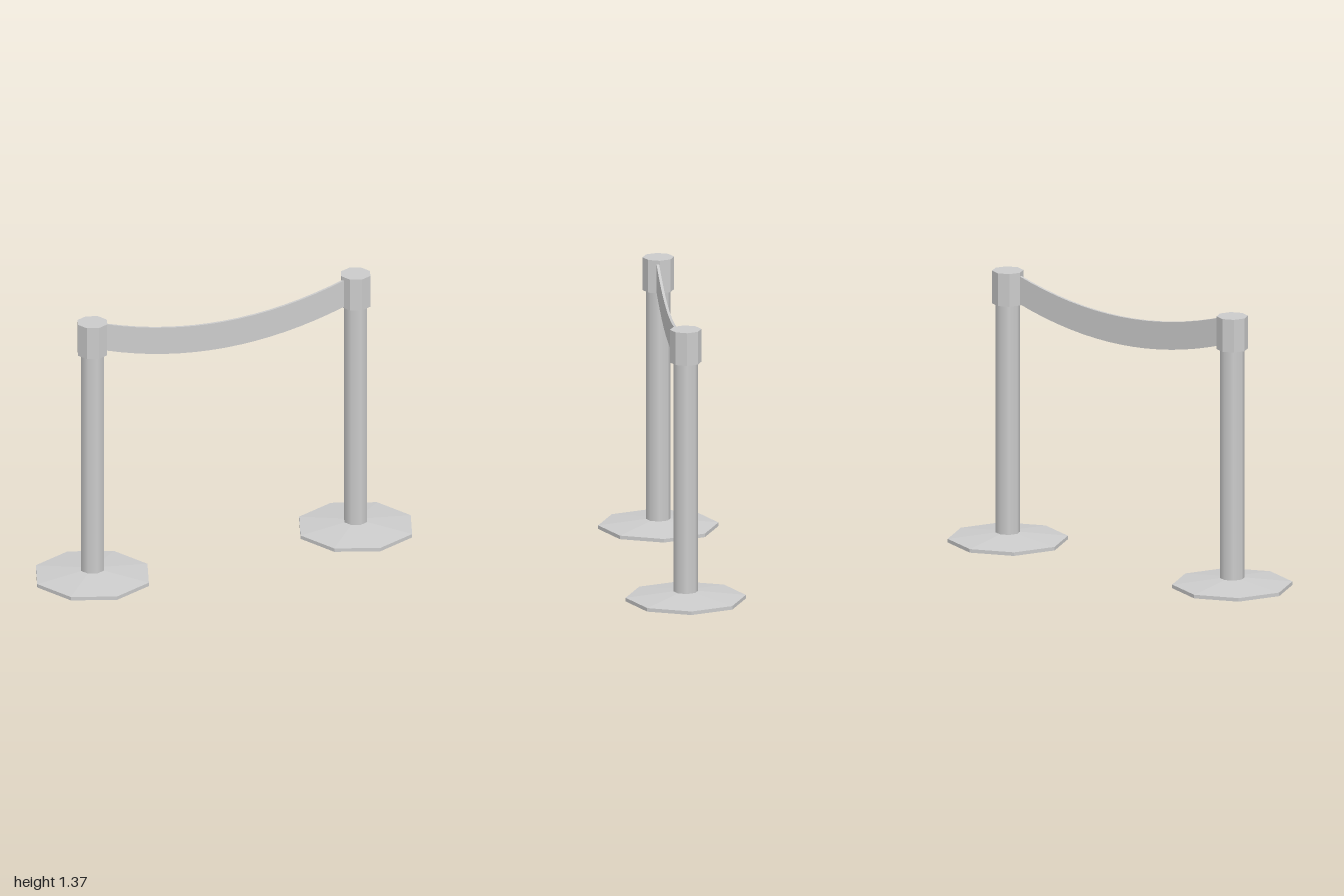
import * as THREE from 'three';

const SIDES = 8;
const POST_X = 0.705;
const flat = new THREE.MeshStandardMaterial({ color: 0xcccccc, flatShading: true });
const smooth = new THREE.MeshStandardMaterial({ color: 0xcccccc });

function addPart(group, name, geometry, material, y = 0) {
  const mesh = new THREE.Mesh(geometry, material);
  mesh.name = name;
  mesh.position.y = y;
  group.add(mesh);
}

// Eight-sided stanchion: weighted foot, tube and belt housing
function createStanchion(name) {
  const group = new THREE.Group();
  group.name = name;
  const profile = [[0, 0], [0.295, 0], [0.295, 0.018], [0.06, 0.045], [0, 0.045]]
    .map(([r, y]) => new THREE.Vector2(r, y));
  addPart(group, 'base', new THREE.LatheGeometry(profile, SIDES), flat);
  addPart(group, 'post', new THREE.CylinderGeometry(0.06, 0.06, 1.17, SIDES), smooth, 0.625);
  addPart(group, 'cap', new THREE.CylinderGeometry(0.077, 0.077, 0.165, SIDES), flat, 1.2825);
  return group;
}

// Sagging belt: a thin strip bent along a parabola
function createBelt() {
  const halfSpan = 0.64, sag = 0.103, height = 0.14, thickness = 0.013;
  const belt = new THREE.BoxGeometry(halfSpan * 2, height, thickness, 16, 1, 1);
  const p = belt.attributes.position;
  for (let i = 0; i < p.count; i++) {
    const t = p.getX(i) / halfSpan;
    p.setY(i, p.getY(i) + 1.175 + sag * t * t);
  }
  belt.translate(0, 0, 0.009);
  belt.computeVertexNormals();
  return belt;
}

export function createModel() {
  const model = new THREE.Group();
  model.name = 'queueBarrier';
  for (const [name, side] of [['leftStanchion', 1], ['rightStanchion', -1]]) {
    const stanchion = createStanchion(name);
    stanchion.position.x = side * POST_X;
    model.add(stanchion);
  }
  addPart(model, 'belt', createBelt(), smooth);
  return model;
}
